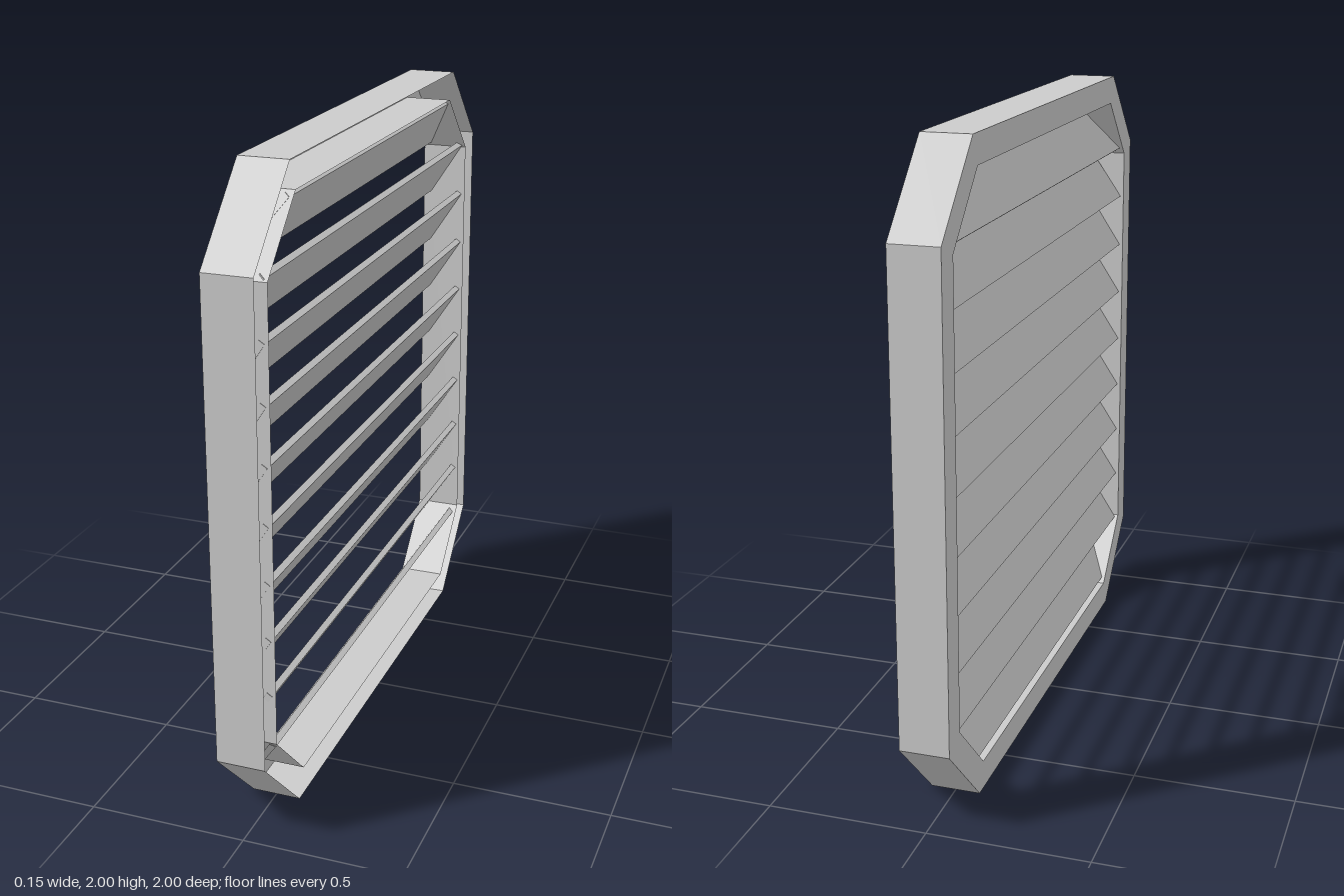
import * as THREE from 'three';

const HALF_DEPTH = 0.077; // half thickness along x
const RIM = 0.09;         // width of the frame border
const CORNER = 1.743;     // |z| + |y - 1| along the outer chamfers
const SLATS = 10;

const material = new THREE.MeshStandardMaterial({
  color: 0xcccccc, flatShading: true, side: THREE.DoubleSide,
});

// Chamfered square in the zy plane, moved inwards by an inset
function octagon(inset) {
  const a = 1 - inset;
  const b = CORNER - inset * Math.SQRT2 - a;
  return [[a, -b], [a, b], [b, a], [-b, a], [-a, b], [-a, -b], [-b, -a], [b, -a]];
}

// Half length of a slat at height y, kept inside the chamfered opening
function slatReach(y) {
  const inset = RIM - 0.002;
  return Math.min(1 - inset, CORNER - inset * Math.SQRT2 - Math.abs(y - 1));
}

// Flat quads joining closed loops of points; optional caps for four-sided loops
function loft(loops, capped = false) {
  const pos = [];
  const quad = (a, b, c, d) => pos.push(...a, ...b, ...c, ...a, ...c, ...d);
  for (let s = 0; s < loops.length - 1; s++) {
    const p = loops[s], q = loops[s + 1], n = p.length;
    for (let i = 0; i < n; i++) {
      const j = (i + 1) % n;
      quad(p[i], p[j], q[j], q[i]);
    }
  }
  if (capped) {
    quad(...[...loops[0]].reverse());
    quad(...loops[loops.length - 1]);
  }
  const geometry = new THREE.BufferGeometry();
  geometry.setAttribute('position', new THREE.Float32BufferAttribute(pos, 3));
  geometry.computeVertexNormals();
  return geometry;
}

function addMesh(parent, name, geometry) {
  const mesh = new THREE.Mesh(geometry, material);
  mesh.name = name;
  parent.add(mesh);
}

export function createModel() {
  const model = new THREE.Group();
  model.name = 'louvredVent';

  // Frame: a U-shaped channel, open towards +x
  const section = [[HALF_DEPTH, 0], [-HALF_DEPTH, 0], [-HALF_DEPTH, RIM], [HALF_DEPTH, RIM]];
  addMesh(model, 'frame', loft(section.map(([x, inset]) =>
    octagon(inset).map(([z, y]) => [x, y + 1, z]))));

  // Slats: thin tilted boards, high at +x, with ends trimmed to the opening
  const slats = new THREE.Group();
  slats.name = 'slats';
  model.add(slats);
  const tilt = THREE.MathUtils.degToRad(57);
  const c = Math.cos(tilt), s = Math.sin(tilt);
  const halfLength = 0.105, halfThick = 0.01;
  const corners = [[-1, -1], [1, -1], [1, 1], [-1, 1]].map(([u, v]) => [
    u * halfLength * c - v * halfThick * s,
    u * halfLength * s + v * halfThick * c,
  ]);
  for (let i = 0; i < SLATS; i++) {
    const centre = 1 + 0.18 * (i - (SLATS - 1) / 2);
    const end = (side) => corners.map(([x, dy]) => {
      const y = centre + dy;
      return [x, y, side * slatReach(y)];
    });
    addMesh(slats, `slat${i + 1}`, loft([end(-1), end(1)], true));
  }
  return model;
}
